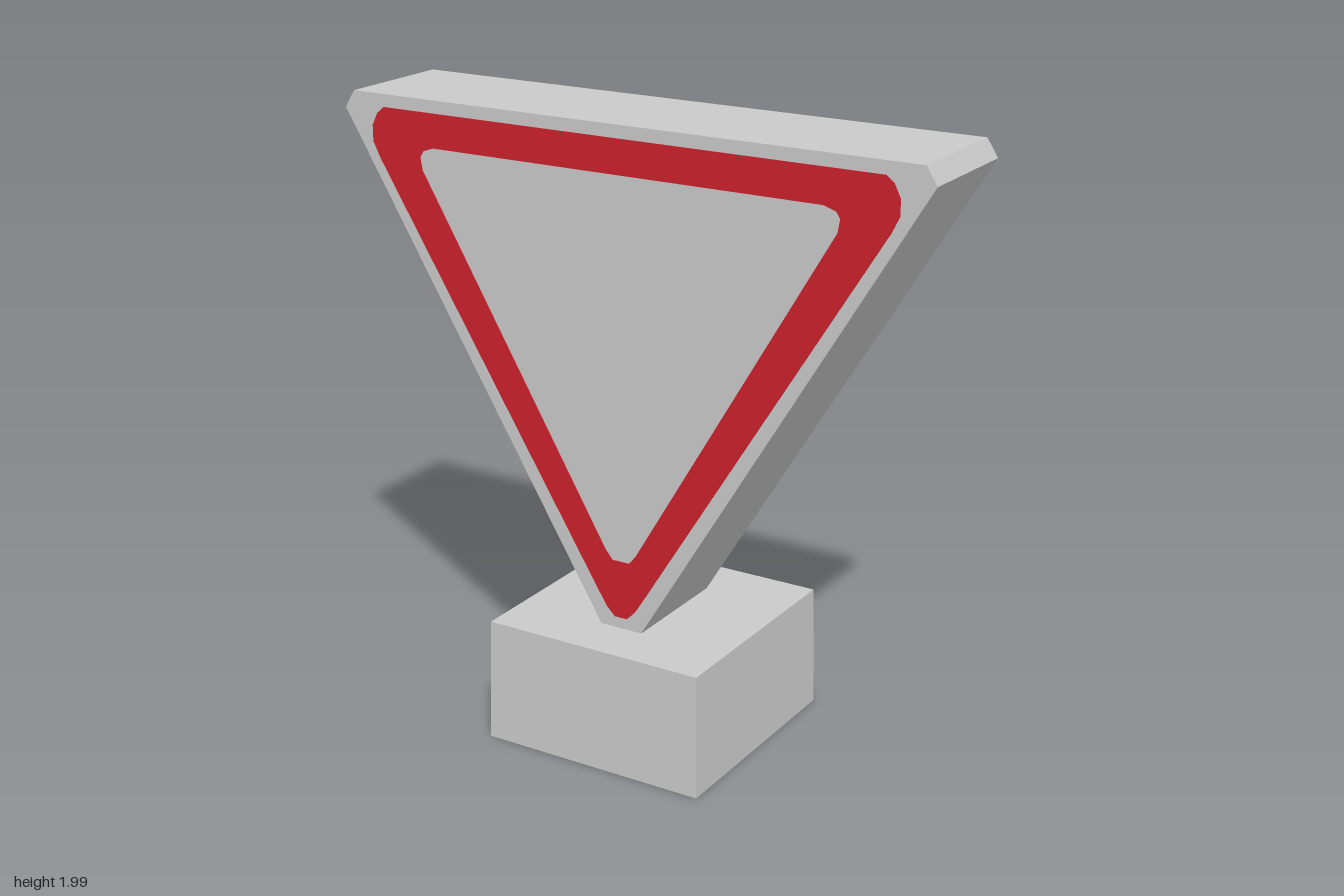
import * as THREE from 'three';

// Outline symmetric about x = 0, from its right half listed top to bottom
const mirrored = (half) => {
  const right = half.map(([x, y]) => new THREE.Vector2(x, y));
  const left = half.map(([x, y]) => new THREE.Vector2(-x, y));
  return [...left, ...right.reverse()];
};

export function createModel() {
  const model = new THREE.Group();
  model.name = 'yieldSign';

  const grey = new THREE.MeshStandardMaterial({ color: 0xcacaca });
  grey.name = 'lightGrey';
  const red = new THREE.MeshStandardMaterial({ color: 0xcc212c });
  red.name = 'signalRed';

  const add = (name, geometry, material) => {
    const mesh = new THREE.Mesh(geometry, material);
    mesh.name = name;
    model.add(mesh);
    return mesh;
  };

  // Slightly tapered square foot with a square recess underneath
  const profile = [[0, 0.2], [0.24, 0.2], [0.24, 0], [0.38, 0], [0.373, 0.4], [0, 0.4]]
    .map(([r, y]) => new THREE.Vector2(r * Math.SQRT2, y));
  const foot = new THREE.LatheGeometry(profile, 4, Math.PI / 4).toNonIndexed();
  foot.computeVertexNormals();
  add('foot', foot, grey);

  // Thick triangular board with clipped upper corners
  const board = new THREE.Shape(mirrored([[0.965, 1.985], [1, 1.93], [0.073, 0.4]]));
  const boardDepth = 0.4;
  add('board', new THREE.ExtrudeGeometry(board, { depth: boardDepth, bevelEnabled: false })
    .translate(0, 0, -boardDepth / 2), grey);

  // Red border, a thin plate on both faces
  const border = new THREE.Shape(mirrored([
    [0.85, 1.945], [0.875, 1.925], [0.895, 1.885], [0.895, 1.835], [0.87, 1.785],
    [0.085, 0.52], [0.05, 0.465], [0.022, 0.437],
  ]));
  border.holes.push(new THREE.Path(mirrored([
    [0.665, 1.838], [0.705, 1.825], [0.717, 1.805], [0.71, 1.765], [0.055, 0.655], [0.03, 0.625],
  ])));
  const plate = new THREE.ExtrudeGeometry(border, { depth: 0.003, bevelEnabled: false })
    .translate(0, 0, boardDepth / 2);
  add('frontBorder', plate, red);
  add('backBorder', plate, red).rotation.y = Math.PI;

  return model;
}
